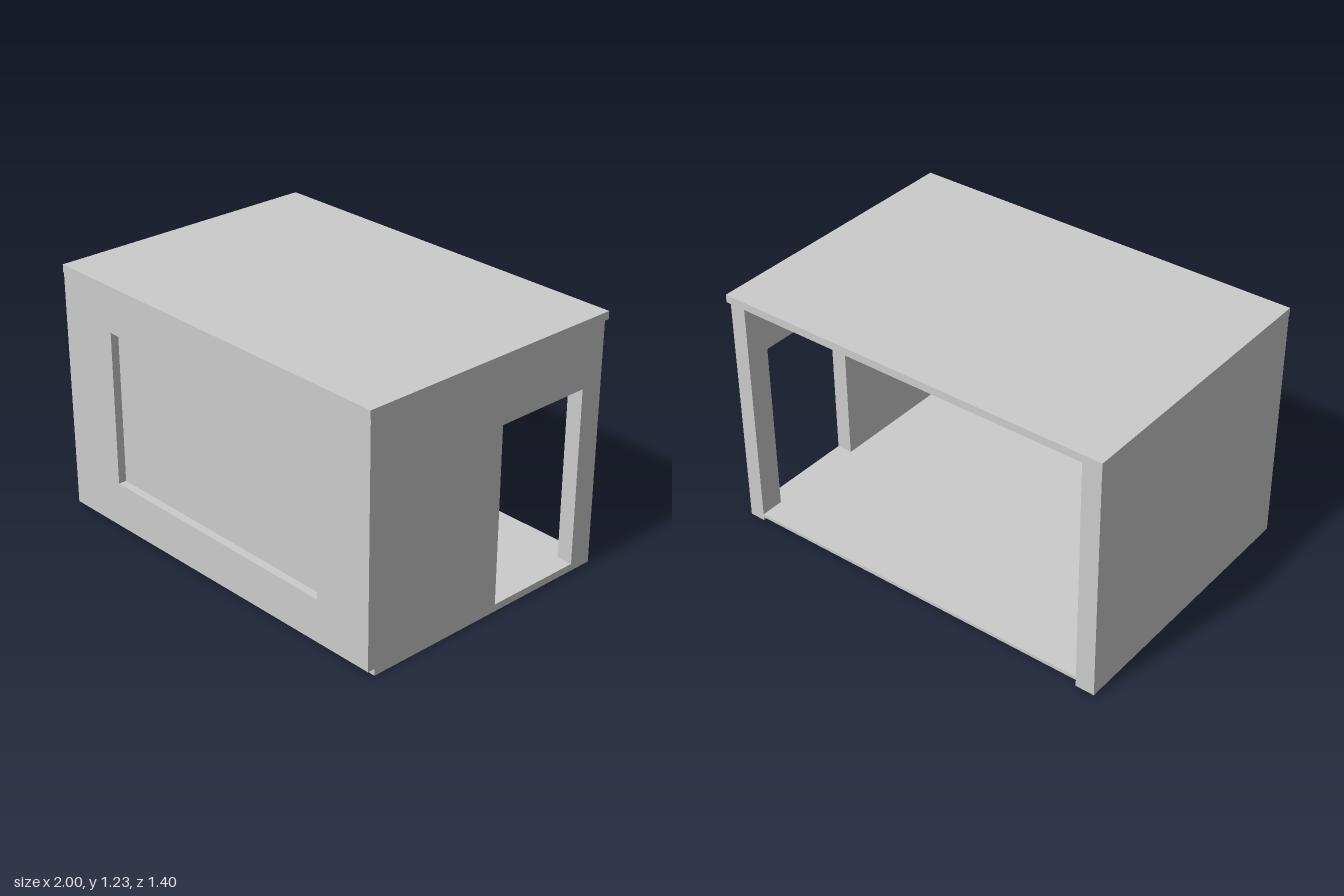
import * as THREE from 'three';

const material = new THREE.MeshStandardMaterial({ color: 0xcccccc, flatShading: true });

function add(group, name, geometry) {
  const mesh = new THREE.Mesh(geometry, material);
  mesh.name = name;
  group.add(mesh);
  return mesh;
}

// Box given by its lowest and highest corners
function block(group, name, [x0, y0, z0], [x1, y1, z1]) {
  const mesh = add(group, name, new THREE.BoxGeometry(x1 - x0, y1 - y0, z1 - z0));
  mesh.position.set((x0 + x1) / 2, (y0 + y1) / 2, (z0 + z1) / 2);
}

// Flat wall with one rectangular opening
function wallGeometry(outline, [x0, y0, x1, y1], depth) {
  const toPoints = (list) => list.map(([x, y]) => new THREE.Vector2(x, y));
  const shape = new THREE.Shape(toPoints(outline));
  shape.holes.push(new THREE.Path(toPoints([[x0, y0], [x0, y1], [x1, y1], [x1, y0]])));
  return new THREE.ExtrudeGeometry(shape, { depth, bevelEnabled: false });
}

export function createModel() {
  const group = new THREE.Group();
  group.name = 'openRoom';
  const floorTop = 0.035, wallTop = 1.19;
  const innerFront = 0.59, innerLeft = 0.918, innerRight = -0.905, back = -0.678;

  // Thin floor panel, raised between the feet of the walls
  block(group, 'floor', [innerRight, 0.018, back], [innerLeft, floorTop, innerFront]);
  block(group, 'roof', [-1, wallTop, -0.7], [1, 1.228, 0.7]);

  // Solid side wall and the set-back feet under it and the front wall
  block(group, 'solidSideWall', [-0.999, 0.01, -0.7], [innerRight, wallTop, innerFront]);
  block(group, 'sideFoot', [-0.95, 0, back], [innerRight, 0.01, innerFront]);
  block(group, 'frontFoot', [-0.95, 0, innerFront], [innerLeft, floorTop, 0.66]);

  // Front wall: its lower edge rises slightly towards +x
  const front = add(group, 'frontWall', wallGeometry(
    [[-0.999, 0.011], [0.998, 0.034], [0.998, wallTop], [-0.999, wallTop]],
    [-0.665, 0.24, 0.69, 1.0], 0.107));
  front.position.z = innerFront;

  // Pane recessed on both sides
  block(group, 'windowPane', [-0.665, 0.24, 0.62], [0.69, 1.0, 0.657]);

  // Side wall with doorway, drawn in z and y; its foot runs under the front wall
  const door = add(group, 'doorwayWall', wallGeometry(
    [[back, 0], [0.66, 0], [0.66, floorTop], [innerFront, floorTop], [innerFront, wallTop], [back, wallTop]],
    [-0.56, floorTop, -0.06, 0.904], 0.08));
  door.rotation.y = -Math.PI / 2;
  door.position.x = 0.998;

  return group;
}
